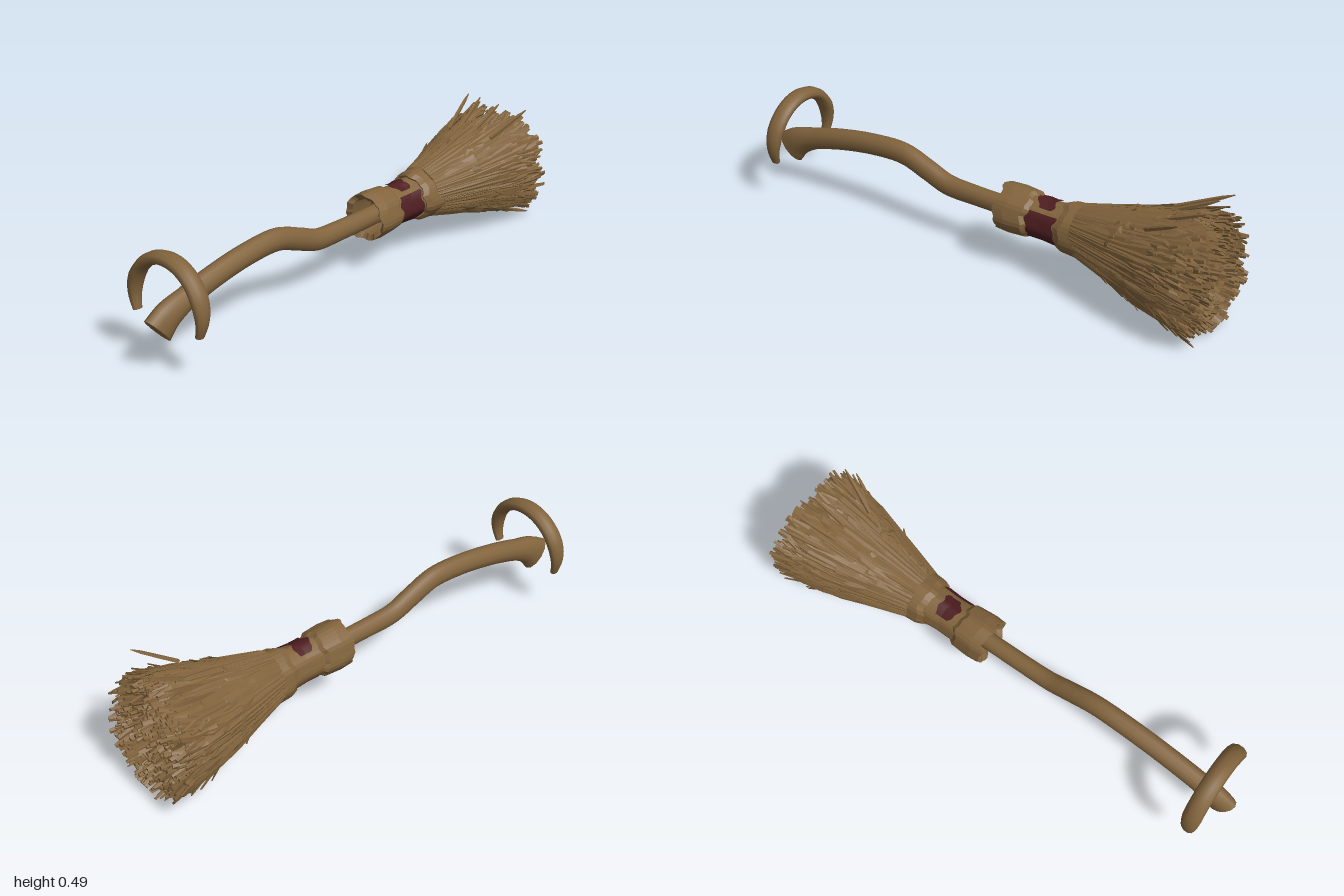
import * as THREE from 'three';
import { mergeGeometries } from 'three/addons/utils/BufferGeometryUtils.js';

const V = (x, y, z) => new THREE.Vector3(x, y, z);

// Small seeded random generator
function makeRandom(seed) {
  return () => {
    seed = (seed * 1664525 + 1013904223) % 4294967296;
    return seed / 4294967296;
  };
}

// Closed tapered limb: rings [centre, radius along side axis, other radius] swept along a path
function limb(rings, side, sides, flat) {
  const pos = [], index = [];
  const n = rings.length;
  rings.forEach(([p, ra, rb], i) => {
    const t = rings[Math.min(i + 1, n - 1)][0].clone().sub(rings[Math.max(i - 1, 0)][0]).normalize();
    const a = side.clone().addScaledVector(t, -side.dot(t)).normalize();
    const b = t.clone().cross(a);
    for (let j = 0; j < sides; j++) {
      const w = (j / sides) * Math.PI * 2;
      const v = p.clone().addScaledVector(a, Math.cos(w) * ra).addScaledVector(b, Math.sin(w) * rb);
      pos.push(v.x, v.y, v.z);
    }
  });
  for (let i = 0; i < n - 1; i++) {
    for (let j = 0; j < sides; j++) {
      const k = (j + 1) % sides, a = i * sides, b = a + sides;
      index.push(a + j, a + k, b + k, a + j, b + k, b + j);
    }
  }
  // End caps with their own corners so the rims stay sharp
  for (const end of [0, n - 1]) {
    const base = pos.length / 3;
    pos.push(...pos.slice(end * sides * 3, (end + 1) * sides * 3));
    for (let j = 1; j < sides - 1; j++) {
      if (end) index.push(base, base + j, base + j + 1);
      else index.push(base, base + j + 1, base + j);
    }
  }
  let g = new THREE.BufferGeometry();
  g.setAttribute('position', new THREE.Float32BufferAttribute(pos, 3));
  g.setIndex(index);
  if (flat) g = g.toNonIndexed();
  g.computeVertexNormals();
  return g;
}

// Smooth limb through key points [x, y, z, ra, rb]
function smoothLimb(keys, side, steps, sides) {
  const path = new THREE.CatmullRomCurve3(keys.map(k => V(k[0], k[1], k[2])));
  const rings = [];
  for (let i = 0; i <= steps; i++) {
    const u = (i / steps) * (keys.length - 1);
    const k = Math.min(Math.floor(u), keys.length - 2);
    const size = c => THREE.MathUtils.lerp(keys[k][c], keys[k + 1][c], u - k);
    rings.push([path.getPoint(i / steps), size(3), size(4)]);
  }
  return limb(rings, side, sides, false);
}

// Uneven sleeve around the x axis; profile is [x, radius], angle 0 faces front, -PI/2 faces up
function sleeve(profile, start = 0, length = Math.PI * 2, pinch = false) {
  const g = new THREE.LatheGeometry(profile.map(([x, r]) => new THREE.Vector2(r, x)), 36, start, length);
  const p = g.attributes.position;
  for (let i = 0; i < p.count; i++) {
    const a = Math.atan2(p.getX(i), p.getZ(i));
    const f = 1 + 0.03 * Math.sin(3 * a + 1) + 0.02 * Math.sin(7 * a);
    let x = p.getY(i) + 0.006 * Math.sin(5 * a) + 0.004 * Math.sin(11 * a + 2);
    if (pinch) {
      const u = (Math.floor(i / profile.length) / 36) * 2 - 1;
      x = 0.276 + (x - 0.276) * Math.sqrt(1 - 0.6 * u * u);
    }
    p.setXYZ(i, p.getX(i) * f, x, p.getZ(i) * f);
  }
  g.rotateZ(-Math.PI / 2);
  const out = g.toNonIndexed();
  out.computeVertexNormals();
  return out.translate(0, 0.217, 0);
}

export function createModel() {
  const group = new THREE.Group();
  const wood = new THREE.MeshStandardMaterial({ color: 0x82643d });
  const redCloth = new THREE.MeshStandardMaterial({ color: 0x4e1d20, side: THREE.DoubleSide });
  const add = (name, geometry, material) => {
    const mesh = new THREE.Mesh(geometry, material);
    mesh.name = name;
    group.add(mesh);
  };

  // Crooked handle with a flared, slanted tip
  add('handle', smoothLimb([
    [-0.955, 0.15, 0, 0.037, 0.069], [-0.91, 0.187, 0, 0.04, 0.058], [-0.83, 0.22, 0, 0.038, 0.045],
    [-0.7, 0.256, 0, 0.038, 0.043], [-0.53, 0.285, 0, 0.038, 0.042], [-0.38, 0.289, 0, 0.037, 0.043],
    [-0.27, 0.252, 0, 0.036, 0.043], [-0.18, 0.219, 0, 0.035, 0.042], [-0.05, 0.213, 0, 0.034, 0.039],
    [0.2, 0.214, 0, 0.034, 0.038]], V(0, 0, 1), 54, 12), wood);

  // Arched grip over the handle tip, tapering at both ends
  const arch = [];
  for (let i = 0; i <= 14; i++) {
    const a = THREE.MathUtils.degToRad(-22 + (224 * i) / 14);
    const k = Math.min(1, 0.5 + 0.2 * Math.min(i, 14 - i));
    arch.push([-0.902 + 0.009 * Math.sin(a), 0.225 + 0.168 * Math.sin(a), 0.166 * Math.cos(a), 0.037 * k, 0.024 * k]);
  }
  add('archedGrip', smoothLimb(arch, V(1, 0, 0), 42, 10), wood);

  // Binding sleeves
  add('frontCuff', sleeve([[0.1, 0.072], [0.085, 0.091], [0.13, 0.094], [0.2, 0.089], [0.215, 0.077],
    [0.19, 0.06], [0.1, 0.072]]), wood);
  add('middleWrap', sleeve([[0.19, 0.03], [0.2, 0.077], [0.28, 0.075], [0.345, 0.08], [0.38, 0.08]]), wood);
  add('rearCuff', sleeve([[0.36, 0.06], [0.345, 0.088], [0.37, 0.098], [0.44, 0.102], [0.455, 0.095], [0.44, 0.06]]), wood);

  // Red cloth patches on the wrap, the front one running underneath
  add('frontPatch', sleeve([[0.22, 0.081], [0.28, 0.08], [0.338, 0.084]], -0.75, 2.8), redCloth);
  add('topPatch', sleeve([[0.236, 0.082], [0.28, 0.08], [0.314, 0.083]], -2.2, 1.2, true), redCloth);

  // Brush outline: radius along x, and how much wider it is sideways
  const rand = makeRandom(7);
  const radius = x => 0.094 + 0.117 * Math.max(0, (x - 0.42) / 0.52);
  const widen = x => 1 + 0.13 * Math.sin(Math.PI * THREE.MathUtils.clamp((x - 0.41) / 0.55, 0, 1));

  // Solid heart of the brush
  add('brushCore', limb([0.4, 0.5, 0.6, 0.7, 0.8, 0.89].map((x, i) => {
    const r = radius(x) * (i === 5 ? 0.8 : 0.96);
    return [V(x, 0.222, 0), r * widen(x), r];
  }), V(0, 0, 1), 28, false), wood);

  // Bristles spreading into a squared-off fan; wide and thick are the strand's two radii
  const strands = [];
  const bristle = (angle, rho, tip, wide, thick, blunt) => {
    const c = Math.cos(angle), s = Math.sin(angle);
    const square = Math.pow(Math.abs(c) ** 3 + Math.abs(s) ** 3, -1 / 3);
    const swirl = (rand() - 0.5) * 0.2;
    const end = tip - 0.04 * Math.max(0, s) * rho * rho;
    const rings = [0, 0.35, 0.65, 0.88, 1].map((t, i) => {
      const x = 0.41 + (end - 0.41) * t;
      const r = radius(x) * rho * (1 + (square - 1) * t);
      const a = swirl * t * t, j = (i === 4 ? 0.035 : 0.012) * t;
      const y = r * (s * Math.cos(a) + c * Math.sin(a)) + (rand() - 0.5) * j;
      const z = r * widen(x) * (c * Math.cos(a) - s * Math.sin(a)) + (rand() - 0.5) * j;
      const k = [1, 1.1, 1, 1, blunt][i];
      return [V(x, 0.222 + y, z), wide * k * (0.8 + 0.5 * rand()), thick * k * (0.7 + 0.5 * rand())];
    });
    strands.push(limb(rings, V(0, c, -s), 4, true));
  };
  // inner fill with ragged, blunt tips
  for (let i = 0; i < 800; i++) {
    const rho = Math.sqrt(rand());
    bristle(rand() * Math.PI * 2, rho * 0.96, 0.88 + 0.1 * rand(), 0.007 + 0.007 * rand(), 0.005 + 0.005 * rand(), 0.8);
  }
  // outer layer of longer strands
  for (let i = 0; i < 240; i++) {
    bristle((i / 240) * Math.PI * 2, 0.95 + 0.07 * rand(), 0.82 + 0.14 * rand(), 0.007 + 0.005 * rand(), 0.005, 0.6);
  }
  // broad flat bark strips near the binding
  for (let i = 0; i < 90; i++) {
    bristle((i / 90) * Math.PI * 2, 0.98, 0.6 + 0.26 * rand(), 0.017, 0.005, 0.4);
  }
  // stray twigs [tip x, y, z]
  for (const [x, y, z] of [[0.87, 0.475, 0.165], [0.9, 0.462, -0.085], [0.92, 0.455, -0.16], [0.9, 0.455, 0.01],
    [0.88, 0.33, 0.225], [0.93, 0.3, -0.22], [0.95, 0.005, 0.14], [0.95, 0.005, -0.09], [0.995, 0.3, 0.02]]) {
    const at = (t, k) => [V(0.72 + (x - 0.72) * t, 0.222 + (y - 0.222) * (0.64 + 0.36 * t), z * (0.64 + 0.36 * t)), k, k];
    strands.push(limb([at(0, 0.009), at(0.5, 0.008), at(0.8, 0.007), at(1, 0.002)], V(0, 0.6, 0.8), 4, true));
  }
  add('bristles', mergeGeometries(strands), wood);

  return group;
}
